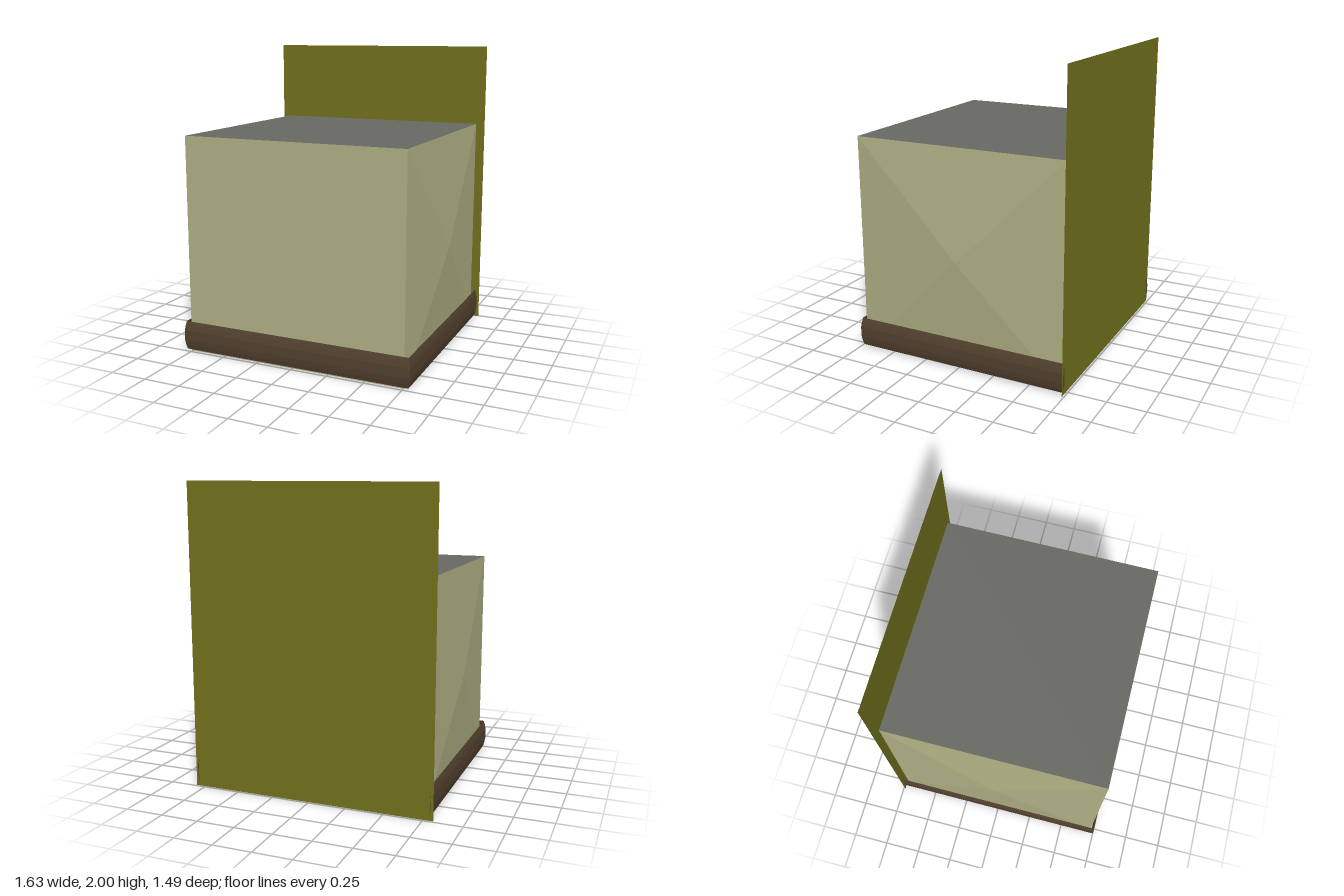
import * as THREE from 'three';

const mat = (name, color, side = THREE.DoubleSide) => {
  const m = new THREE.MeshStandardMaterial({ color, side });
  m.name = name;
  return m;
};

// Flat-shaded surface from a list of triangles, each three [x, y, z] corners
function facets(triangles) {
  const g = new THREE.BufferGeometry();
  g.setAttribute('position', new THREE.Float32BufferAttribute(triangles.flat(2), 3));
  g.computeVertexNormals();
  return g;
}
const quad = (a, b, c, d) => [[a, b, c], [a, c, d]];

export function createModel() {
  const model = new THREE.Group();
  const beige = mat('beige', 0xb4b488);
  const olive = mat('olive', 0x74741e);
  const grey = mat('grey', 0x6a6a64);
  const brown = mat('brown', 0x554330);
  const add = (name, geometry, material) => {
    const mesh = new THREE.Mesh(geometry, material);
    mesh.name = name;
    model.add(mesh);
    return mesh;
  };

  const X = 0.755, Z = 0.727, H = 1.45;

  // Front and back walls; the body is open underneath
  const front = add('frontWall', new THREE.PlaneGeometry(2 * X, H), beige);
  front.position.set(0, H / 2, Z);
  const back = add('backWall', new THREE.PlaneGeometry(2 * X, H), beige);
  back.position.set(0, H / 2, -Z);
  back.rotation.y = Math.PI;

  // Side walls swell to a shallow point in the middle
  for (const s of [1, -1]) {
    const corners = [[s * X, 0, s * Z], [s * X, 0, -s * Z], [s * X, H, -s * Z], [s * X, H, s * Z]];
    const apex = [s * 0.8, H / 2, 0];
    add(s > 0 ? 'leftWall' : 'rightWall',
      facets(corners.map((c, i) => [c, corners[(i + 1) % 4], apex])), beige);
  }

  // Top sheet over a lining
  for (const [name, y, material] of [['topSheet', H, grey], ['topLining', H - 0.004, beige]]) {
    const top = add(name, new THREE.PlaneGeometry(2 * X, 2 * Z), material);
    top.rotation.x = -Math.PI / 2;
    top.position.y = y;
  }

  // Tall back panel
  const panel = add('backPanel', new THREE.PlaneGeometry(1.63, 2), olive);
  panel.position.set(0, 1, -0.738);

  // Bowed skirt around three sides: [height, outward bow]
  const profile = [[0.01, 0], [0.04, 0.007], [0.075, 0.012], [0.14, 0.012], [0.175, 0.007], [0.205, 0]];
  const ring = ([y, d]) => {
    const x = 0.785 + d, z = 0.735 + d;
    return [[-x, y, -z], [-x, y, z], [x, y, z], [x, y, -z]];
  };
  const skirt = [];
  for (let i = 0; i < profile.length - 1; i++) {
    const low = ring(profile[i]), high = ring(profile[i + 1]);
    for (let k = 0; k < 3; k++) skirt.push(...quad(low[k], low[k + 1], high[k + 1], high[k]));
  }
  add('skirt', facets(skirt), brown);

  return model;
}
